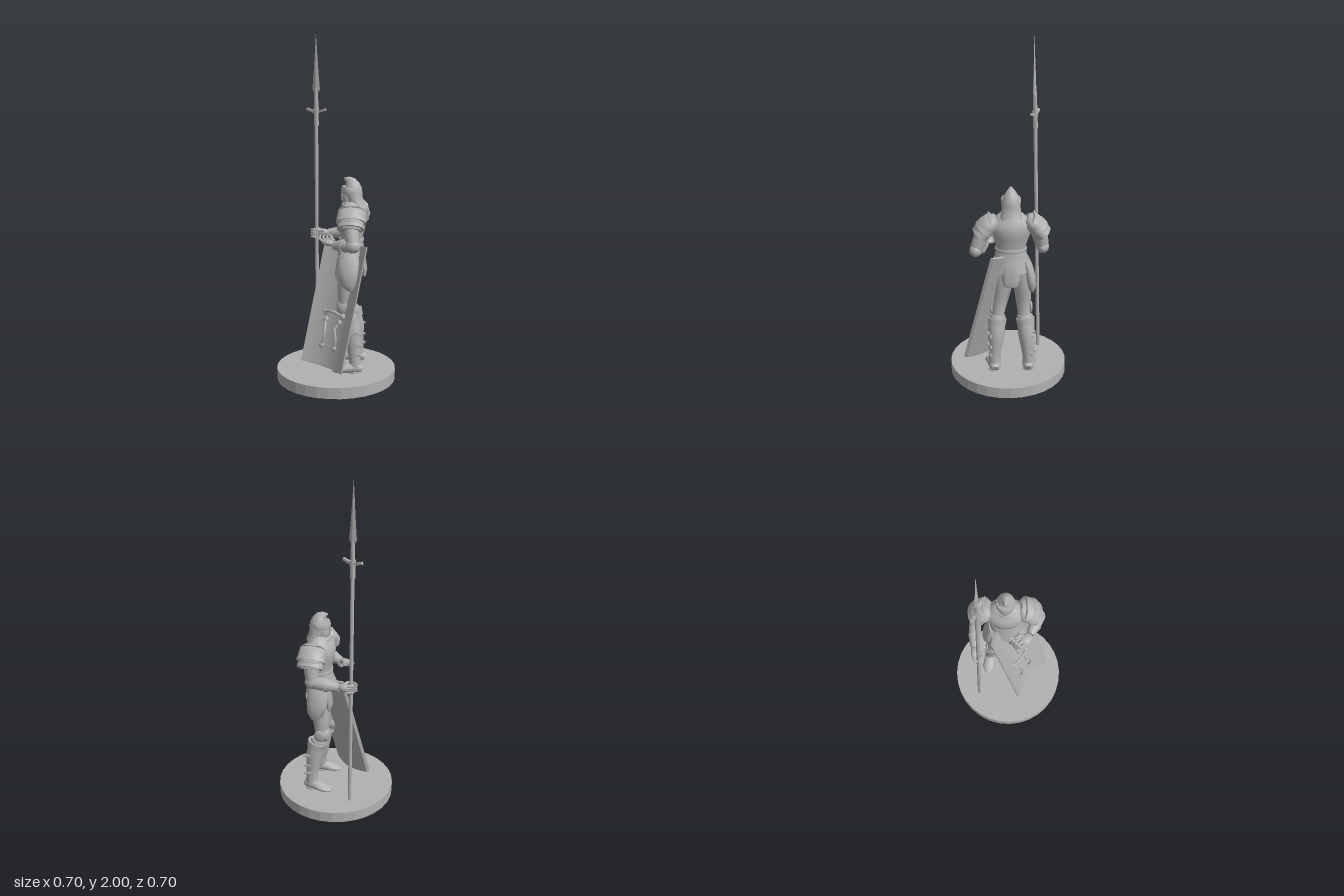
import * as THREE from 'three';
import { toCreasedNormals } from 'three/addons/utils/BufferGeometryUtils.js';

const V = (x, y, z) => new THREE.Vector3(x, y, z);

// Skin of elliptical rings along a path; each section is [x, y, z, radiusA, radiusZ].
function loft(sections, n = 20, crease = 0.9) {
  const pos = [], idx = [], m = sections.length;
  const c = sections.map(s => V(s[0], s[1], s[2]));
  c.forEach((p, i) => {
    const t = c[Math.min(i + 1, m - 1)].clone().sub(c[Math.max(i - 1, 0)]).normalize();
    const b = V(0, 0, 1).addScaledVector(t, -t.z).normalize();
    const a = b.clone().cross(t);
    for (let j = 0; j < n; j++) {
      const q = (j / n) * Math.PI * 2;
      const v = p.clone().addScaledVector(a, sections[i][3] * Math.cos(q)).addScaledVector(b, sections[i][4] * Math.sin(q));
      pos.push(v.x, v.y, v.z);
    }
  });
  for (let i = 0; i < m - 1; i++) for (let j = 0; j < n; j++) {
    const k = (j + 1) % n, r = i * n, u = r + n;
    idx.push(r + j, r + k, u + j, r + k, u + k, u + j);
  }
  const s = pos.length / 3, last = (m - 1) * n;
  pos.push(...c[0].toArray(), ...c[m - 1].toArray());
  for (let j = 0; j < n; j++) {
    const k = (j + 1) % n;
    idx.push(s, k, j, s + 1, last + j, last + k);
  }
  const g = new THREE.BufferGeometry();
  g.setAttribute('position', new THREE.Float32BufferAttribute(pos, 3));
  g.setIndex(idx);
  return toCreasedNormals(g, crease);
}

export function createModel() {
  const root = new THREE.Group();
  root.name = 'spearKnight';
  const grey = new THREE.MeshStandardMaterial({ color: 0xb0b0b0 });
  grey.name = 'stoneGrey';

  const add = (name, geo, parent = root) => {
    const mesh = new THREE.Mesh(geo, grey);
    mesh.name = name;
    parent.add(mesh);
    return mesh;
  };
  const blob = (name, p, r, parent = root) => {
    const mesh = add(name, new THREE.SphereGeometry(1, 20, 14), parent);
    mesh.position.set(...p);
    mesh.scale.set(...r);
    return mesh;
  };
  const box = (name, p, s, parent = root) => {
    const mesh = add(name, new THREE.BoxGeometry(...s), parent);
    mesh.position.set(...p);
    return mesh;
  };
  // Thin round rod through a few points, tapering from r0 to r1
  const rod = (name, pts, r0, r1 = r0, parent = root, n = 10) =>
    add(name, loft(pts.map((p, i) => {
      const r = r0 + (r1 - r0) * i / (pts.length - 1);
      return [...p, r, r];
    }), n), parent);

  // Base disc
  add('base', toCreasedNormals(new THREE.CylinderGeometry(0.35, 0.35, 0.065, 32), 0.1)).position.y = 0.0325;

  // Cuirass, waist and skirt
  add('cuirass', loft([
    [0.09, 0.81, -0.012, 0.066, 0.085], [0.09, 0.86, -0.012, 0.066, 0.088],
    [0.09, 0.91, -0.012, 0.08, 0.105], [0.09, 0.96, -0.012, 0.088, 0.122],
    [0.092, 1.0, -0.012, 0.08, 0.122], [0.095, 1.03, -0.012, 0.06, 0.085], [0.095, 1.06, -0.012, 0.045, 0.055]], 32));
  add('belt', loft([[0.09, 0.825, -0.012, 0.07, 0.09], [0.09, 0.835, -0.012, 0.073, 0.094], [0.09, 0.845, -0.012, 0.07, 0.09]], 32));
  [0, 1, 2].forEach(i => add('skirtLame', loft([
    [0.088, 0.70 + i * 0.042, -0.012, 0.086 - i * 0.006, 0.112 - i * 0.008],
    [0.088, 0.755 + i * 0.042, -0.012, 0.073 - i * 0.004, 0.094 - i * 0.005]], 32)));
  add('hips', loft([[0.085, 0.60, -0.012, 0.045, 0.06], [0.085, 0.65, -0.012, 0.068, 0.09], [0.085, 0.74, -0.012, 0.075, 0.1]], 24));
  add('backPlate', loft([[0.165, 0.625, -0.008, 0.01, 0.04], [0.17, 0.66, -0.008, 0.012, 0.047], [0.155, 0.74, -0.008, 0.015, 0.042]], 16));

  // Head and open helmet with raised brow peak
  blob('face', [0.07, 1.075, -0.012], [0.036, 0.055, 0.038]);
  blob('chinGuard', [0.065, 1.035, -0.012], [0.036, 0.025, 0.046]);
  add('helmet', loft([
    [0.1, 1.095, -0.012, 0.052, 0.053], [0.095, 1.125, -0.012, 0.054, 0.052],
    [0.09, 1.15, -0.012, 0.046, 0.043], [0.08, 1.17, -0.012, 0.034, 0.028],
    [0.065, 1.182, -0.012, 0.02, 0.013], [0.045, 1.189, -0.012, 0.004, 0.004]], 28));
  add('neckGuard', loft([
    [0.122, 1.02, -0.012, 0.05, 0.064], [0.115, 1.045, -0.012, 0.046, 0.06],
    [0.107, 1.075, -0.012, 0.046, 0.055], [0.102, 1.11, -0.012, 0.05, 0.052]], 28));
  add('browBand', loft([[0.088, 1.108, -0.012, 0.056, 0.056], [0.083, 1.132, -0.012, 0.056, 0.057], [0.084, 1.14, -0.012, 0.05, 0.052]], 28));
  add('noseGuard', loft([[0.034, 1.06, -0.012, 0.005, 0.006], [0.032, 1.11, -0.012, 0.006, 0.01]], 8));

  for (const s of [1, -1]) {
    const z = d => -0.015 + s * d;

    // Shoulder armour: dome, overlapping lames and upright flange
    add('pauldron', loft([
      [0.1, 1.022, z(0.085), 0.045, 0.025], [0.1, 1.005, z(0.11), 0.077, 0.05],
      [0.1, 0.975, z(0.145), 0.08, 0.056], [0.1, 0.945, z(0.17), 0.07, 0.05], [0.1, 0.92, z(0.185), 0.058, 0.036]], 28));
    [0, 1].forEach(i => add('shoulderLame', loft([
      [0.1, 0.985 - i * 0.03, z(0.135 + i * 0.024), 0.078 - i * 0.006, 0.056 - i * 0.004],
      [0.1, 0.957 - i * 0.03, z(0.158 + i * 0.024), 0.085 - i * 0.009, 0.058 - i * 0.008]], 28)));
    add('shoulderFlange', loft([[0.1, 0.99, z(0.11), 0.078, 0.008], [0.1, 1.025, z(0.118), 0.074, 0.007], [0.1, 1.05, z(0.132), 0.045, 0.005]], 20));

    // Tassets: long side plates with rounded points
    add('tasset', loft([
      [0.1, 0.555, z(0.122), 0.014, 0.008], [0.09, 0.59, z(0.118), 0.048, 0.026],
      [0.082, 0.65, z(0.108), 0.062, 0.034], [0.08, 0.72, z(0.093), 0.062, 0.03], [0.085, 0.77, z(0.08), 0.05, 0.02]], 20));
    add('frontTasset', loft([
      [0.025, 0.59, z(0.06), 0.008, 0.016], [0.015, 0.64, z(0.06), 0.016, 0.04], [0.03, 0.74, z(0.05), 0.018, 0.04]], 16));

    // Leg, knee cop, greave and shoe
    add('thigh', loft([
      [0.082, 0.70, z(0.055), 0.062, 0.05], [0.076, 0.62, z(0.062), 0.06, 0.053],
      [0.066, 0.53, z(0.07), 0.05, 0.048], [0.062, 0.44, z(0.075), 0.04, 0.04], [0.078, 0.38, z(0.08), 0.038, 0.038]]));
    blob('kneeCop', [0.045, 0.445, z(0.076)], [0.036, 0.052, 0.042]);
    blob('kneeWing', [0.065, 0.445, z(0.118)], [0.034, 0.036, 0.01]);
    add('greave', loft([
      [0.122, 0.09, z(0.103), 0.036, 0.035], [0.12, 0.15, z(0.1), 0.034, 0.034], [0.113, 0.22, z(0.095), 0.042, 0.042],
      [0.107, 0.29, z(0.09), 0.05, 0.05], [0.092, 0.36, z(0.085), 0.05, 0.05], [0.078, 0.40, z(0.08), 0.046, 0.046]], 24));
    add('greaveCuff', loft([[0.1, 0.345, z(0.087), 0.052, 0.052], [0.088, 0.385, z(0.083), 0.058, 0.056]], 24));
    [0.17, 0.225, 0.295].forEach(y => {
      box('greaveBuckle', [0.152, y, z(0.122)], [0.024, 0.012, 0.012]);
      box('greaveBuckle', [0.125, y + 0.012, z(0.135)], [0.024, 0.014, 0.014]);
    });
    add('shoe', loft([
      [0.162, 0.085, z(0.098), 0.018, 0.022], [0.14, 0.094, z(0.1), 0.034, 0.034], [0.09, 0.092, z(0.108), 0.032, 0.036],
      [0.04, 0.083, z(0.116), 0.022, 0.04], [0.008, 0.076, z(0.12), 0.013, 0.028], [-0.008, 0.072, z(0.122), 0.006, 0.012]]));
    add('shoeSole', loft([[0.12, 0.063, z(0.104), 0.04, 0.036], [0.12, 0.072, z(0.104), 0.04, 0.036]], 20));
  }

  // Arms: upper arm, elbow cop, forearm guard with flared cuff
  const arm = (shoulder, elbow, wrist) => {
    const mix = (p, q, t) => p.map((v, i) => v + (q[i] - v) * t);
    add('upperArm', loft([[...shoulder, 0.046, 0.046], [...mix(shoulder, elbow, 0.6), 0.042, 0.042], [...elbow, 0.034, 0.034]]));
    blob('elbowCop', elbow, [0.044, 0.04, 0.036]);
    add('forearm', loft([[...elbow, 0.034, 0.034], [...mix(elbow, wrist, 0.35), 0.037, 0.037], [...wrist, 0.022, 0.022]]));
    add('gauntletCuff', loft([[...mix(elbow, wrist, 0.5), 0.04, 0.04], [...mix(elbow, wrist, 0.75), 0.031, 0.031], [...wrist, 0.024, 0.024]]));
  };
  arm([0.1, 0.96, 0.135], [0.115, 0.835, 0.19], [0.005, 0.825, 0.135]);
  arm([0.1, 0.96, -0.165], [0.085, 0.84, -0.195], [-0.075, 0.83, -0.2]);

  // Left hand, open with spread fingers
  const palm = blob('leftPalm', [-0.03, 0.835, 0.105], [0.045, 0.018, 0.032]);
  palm.rotation.y = -0.8;
  for (let i = 0; i < 4; i++) {
    const x = -0.075 + i * 0.018, z = 0.095 - i * 0.016;
    rod('leftFinger', [[x + 0.018, 0.838, z + 0.01], [x - 0.01, 0.85, z - 0.018], [x - 0.008, 0.868 - i * 0.004, z - 0.04]], 0.0095, 0.006);
  }
  rod('leftThumb', [[-0.01, 0.84, 0.09], [-0.02, 0.862, 0.06], [-0.04, 0.87, 0.04]], 0.011, 0.007);

  // Right hand closed round the shaft
  blob('rightPalm', [-0.105, 0.832, -0.2], [0.038, 0.024, 0.022]);
  for (let i = 0; i < 4; i++) {
    const y = 0.852 - i * 0.014;
    rod('rightFinger', [[-0.12, y, -0.208], [-0.155, y, -0.2], [-0.168, y, -0.175], [-0.145, y, -0.157]], 0.0095, 0.007);
  }
  rod('rightThumb', [[-0.1, 0.845, -0.19], [-0.115, 0.852, -0.165], [-0.14, 0.855, -0.156]], 0.01, 0.007);

  // Spear, slightly tilted, blade turned about its axis
  const spear = new THREE.Group();
  spear.name = 'spear';
  spear.position.set(-0.14, 0.08, -0.195);
  spear.quaternion.setFromUnitVectors(V(0, 1, 0), V(0.005, 1.92, 0.045).normalize());
  root.add(spear);
  rod('shaft', [[0, 0, 0], [0, 0.1, 0], [0, 1.5, 0]], 0.011, 0.011, spear, 12);
  rod('buttCap', [[0, -0.01, 0], [0, 0.05, 0]], 0.008, 0.0125, spear, 12);
  const head = new THREE.Group();
  head.name = 'spearHead';
  head.rotation.y = -0.41;
  spear.add(head);
  rod('socket', [[0, 1.4, 0], [0, 1.53, 0], [0, 1.62, 0]], 0.015, 0.01, head, 12);
  add('blade', loft([[0, 1.58, 0, 0.01, 0.008], [0, 1.61, 0, 0.026, 0.009], [0, 1.7, 0, 0.017, 0.007], [0, 1.921, 0, 0.0008, 0.0008]], 4, 0.1), head);
  rod('collar', [[0, 1.47, 0], [0, 1.5, 0]], 0.017, 0.017, head, 12);
  for (const s of [1, -1]) {
    const lug = box('lug', [s * 0.036, 1.487, 0], [0.058, 0.014, 0.014], head);
    lug.rotation.z = s * 0.3;
  }

  // Leaning curved shield, hollow side outward
  const shield = new THREE.Group();
  shield.name = 'shield';
  const across = V(0.793, 0, 0.61).normalize(), up = V(0.13, 0.7, -0.16).normalize();
  const out = across.clone().cross(up).normalize();
  shield.quaternion.setFromRotationMatrix(new THREE.Matrix4().makeBasis(across, out.clone().cross(across), out));
  shield.position.set(-0.07, 0.115, 0.17);
  root.add(shield);
  const arc = new THREE.Shape();
  arc.moveTo(-0.164, 0);
  arc.quadraticCurveTo(0, 0.084, 0.164, 0);
  arc.lineTo(0.158, 0.018);
  arc.quadraticCurveTo(0, 0.106, -0.158, 0.018);
  arc.closePath();
  const board = new THREE.ExtrudeGeometry(arc, { depth: 0.73, bevelEnabled: false, curveSegments: 16 });
  board.rotateX(-Math.PI / 2);
  add('shieldBoard', toCreasedNormals(board, 0.5), shield);

  // Carrying straps in the hollow of the shield
  const strap = (name, pts) => {
    rod(name, pts, 0.008, 0.008, shield, 8);
    [pts[0], pts[pts.length - 1]].forEach(p => blob('strapRivet', p, [0.017, 0.017, 0.011], shield));
  };
  strap('gripStrap', [[-0.07, 0.31, -0.03], [-0.035, 0.325, -0.012], [0.02, 0.325, -0.01], [0.065, 0.31, -0.03]]);
  strap('armStrap', [[-0.055, 0.12, -0.03], [-0.035, 0.17, -0.018], [-0.045, 0.23, -0.018], [-0.06, 0.27, -0.03]]);
  strap('armStrap', [[0.04, 0.12, -0.034], [0.055, 0.17, -0.02], [0.03, 0.23, -0.02], [0.045, 0.27, -0.034]]);

  return root;
}
